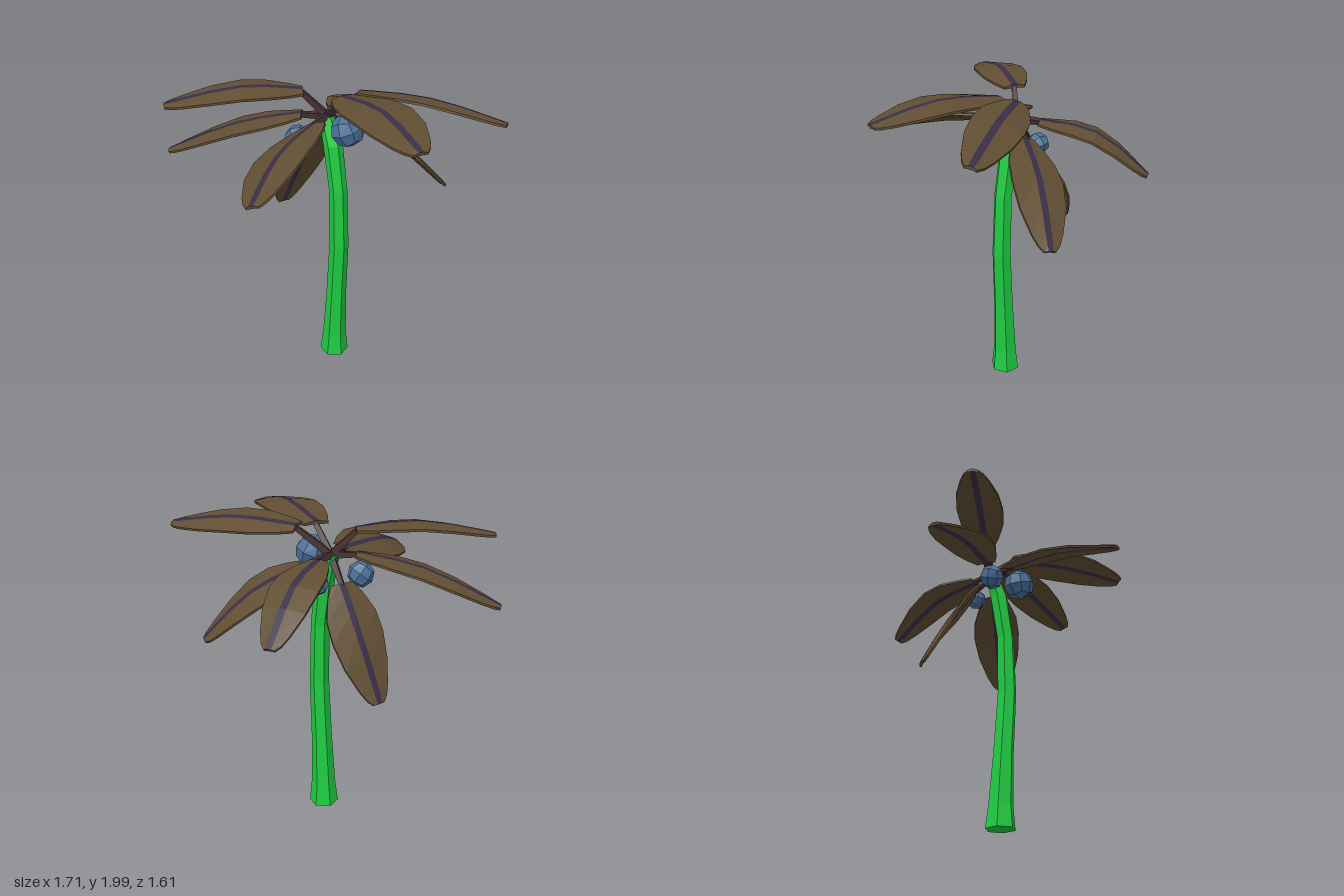
import * as THREE from 'three';

const V = (x, y, z) => new THREE.Vector3(x, y, z);

// Skin a list of rings; matOf(j) picks the material slot of side j
function loft(rings, matOf = () => 0) {
  const n = rings[0].length, buckets = [[], []];
  const tri = (m, a, b, c) => [a, b, c].forEach(p => buckets[m].push(p.x, p.y, p.z));
  for (let i = 0; i < rings.length - 1; i++) {
    for (let j = 0; j < n; j++) {
      const k = (j + 1) % n, m = matOf(j);
      tri(m, rings[i][j], rings[i][k], rings[i + 1][k]);
      tri(m, rings[i][j], rings[i + 1][k], rings[i + 1][j]);
    }
  }
  const first = rings[0], last = rings[rings.length - 1];
  for (let j = 1; j < n - 1; j++) {
    tri(0, first[0], first[j + 1], first[j]);
    tri(0, last[0], last[j], last[j + 1]);
  }
  const g = new THREE.BufferGeometry();
  g.setAttribute('position', new THREE.Float32BufferAttribute([...buckets[0], ...buckets[1]], 3));
  g.addGroup(0, buckets[0].length / 3, 0);
  if (buckets[1].length) g.addGroup(buckets[0].length / 3, buckets[1].length / 3, 1);
  g.computeVertexNormals();
  return g;
}

// Outline of a frond: position along it, share of the half width
const OUTLINE = [[0, 0.42], [0.12, 0.68], [0.3, 0.94], [0.5, 1], [0.7, 0.88], [0.88, 0.59], [0.96, 0.4], [1, 0.22]];

// A frond follows a curve through three points; roll lifts one side
function frondGeometry(points, half, roll) {
  const curve = new THREE.CatmullRomCurve3(points);
  const rings = OUTLINE.map(([t, share]) => {
    const p = curve.getPoint(t), T = curve.getTangent(t);
    const S = V(-T.z, 0, T.x).normalize();
    S.y = roll;
    S.addScaledVector(T, -S.dot(T)).normalize();
    const N = S.clone().cross(T);
    const w = half * share, r = 0.02 * Math.min(1, 0.5 + share), ridge = 0.006 + 0.014 * share;
    const at = (s, h) => p.clone().addScaledVector(S, s).addScaledVector(N, h);
    return [at(-w, 0), at(-r, ridge), at(r, ridge), at(w, 0),
      at(w, -0.014), at(r, -0.01), at(-r, -0.01), at(-w, -0.014)];
  });
  return loft(rings, j => (j === 1 || j === 5 ? 1 : 0));
}

// Square rod between two points
function rod(a, b, r0, r1) {
  const d = b.clone().sub(a);
  const g = new THREE.CylinderGeometry(r1, r0, d.length(), 4);
  g.translate(0, d.length() / 2, 0);
  g.applyQuaternion(new THREE.Quaternion().setFromUnitVectors(V(0, 1, 0), d.normalize()));
  return g.translate(a.x, a.y, a.z);
}

// Cube swollen into a faceted ball
function nutGeometry(r) {
  const g = new THREE.BoxGeometry(1, 1, 1, 2, 2, 2), p = g.attributes.position, v = V(0, 0, 0);
  for (let i = 0; i < p.count; i++) {
    v.fromBufferAttribute(p, i).normalize().multiplyScalar(r);
    p.setXYZ(i, v.x, v.y, v.z);
  }
  return g;
}

export function createModel() {
  const mat = (name, color) => {
    const m = new THREE.MeshStandardMaterial({ color, flatShading: true });
    m.name = name;
    return m;
  };
  const green = mat('trunk green', 0x1fcc42);
  const brown = mat('frond brown', 0x614e33);
  const purple = mat('midrib purple', 0x392e47);
  const bark = mat('stem brown', 0x452f33);
  const blue = mat('nut blue', 0x4b7199);

  const model = new THREE.Group();
  model.name = 'palmTree';
  const add = (name, geometry, material, parent = model) => {
    const mesh = new THREE.Mesh(geometry, material);
    mesh.name = name;
    parent.add(mesh);
    return mesh;
  };

  // Six-sided bent trunk: centre x, height, radius
  const trunk = [[-0.038, 0, 0.097], [-0.035, 0.15, 0.08], [-0.018, 0.5, 0.067], [0.005, 0.9, 0.063],
    [-0.007, 1.3, 0.058], [-0.058, 1.6, 0.061], [-0.12, 1.77, 0.05]];
  add('trunk', loft(trunk.map(([x, y, r]) => Array.from({ length: 6 }, (_, k) => {
    const a = (k * 60 - 10) * Math.PI / 180;
    return V(x + r * Math.cos(a), y, -0.084 - r * Math.sin(a));
  }))), green);

  // Fronds: start, middle, tip, half width, roll
  const crown = V(-0.12, 1.77, -0.085);
  const fronds = [
    [V(-0.18, 1.77, -0.22), V(-0.35, 1.71, -0.51), V(-0.52, 1.48, -0.79), 0.145, 0],
    [V(-0.03, 1.7, -0.23), V(0.13, 1.54, -0.48), V(0.31, 1.25, -0.73), 0.165, 0.36],
    [V(0.03, 1.93, -0.22), V(0.4, 1.93, -0.42), V(0.82, 1.86, -0.63), 0.15, 0.27],
    [V(0.03, 1.93, -0.08), V(0.45, 1.97, -0.005), V(0.84, 1.91, 0.1), 0.19, -0.02],
    [V(-0.06, 1.77, 0.06), V(0.09, 1.72, 0.44), V(0.3, 1.62, 0.79), 0.185, -0.4],
    [V(-0.22, 1.93, 0.02), V(-0.42, 1.95, 0.33), V(-0.66, 1.88, 0.72), 0.15, 0.05],
    [V(-0.22, 1.78, 0.03), V(-0.5, 1.69, 0.31), V(-0.84, 1.5, 0.62), 0.15, 0],
    [V(-0.23, 1.62, -0.09), V(-0.41, 1.34, -0.1), V(-0.6, 0.98, -0.09), 0.17, -0.3],
  ];
  fronds.forEach(([a, b, c, half, roll], i) => {
    const g = new THREE.Group();
    g.name = 'frond' + (i + 1);
    model.add(g);
    add('leaf', frondGeometry([a, b, c], half, roll), [brown, purple], g);
    add('stem', rod(crown, a.clone().lerp(b, 0.05), 0.03, 0.02), bark, g);
  });

  // Nuts under the crown
  [[0.09, 1.745, -0.07, 0.105], [-0.2, 1.64, 0.08, 0.083], [-0.17, 1.63, -0.22, 0.07]].forEach(([x, y, z, r], i) => {
    const nut = add('nut' + (i + 1), nutGeometry(r), blue);
    nut.position.set(x, y, z);
    nut.rotation.set(0.1 + i * 0.3, 0.4 + i * 0.4, 0.3);
  });

  return model;
}
